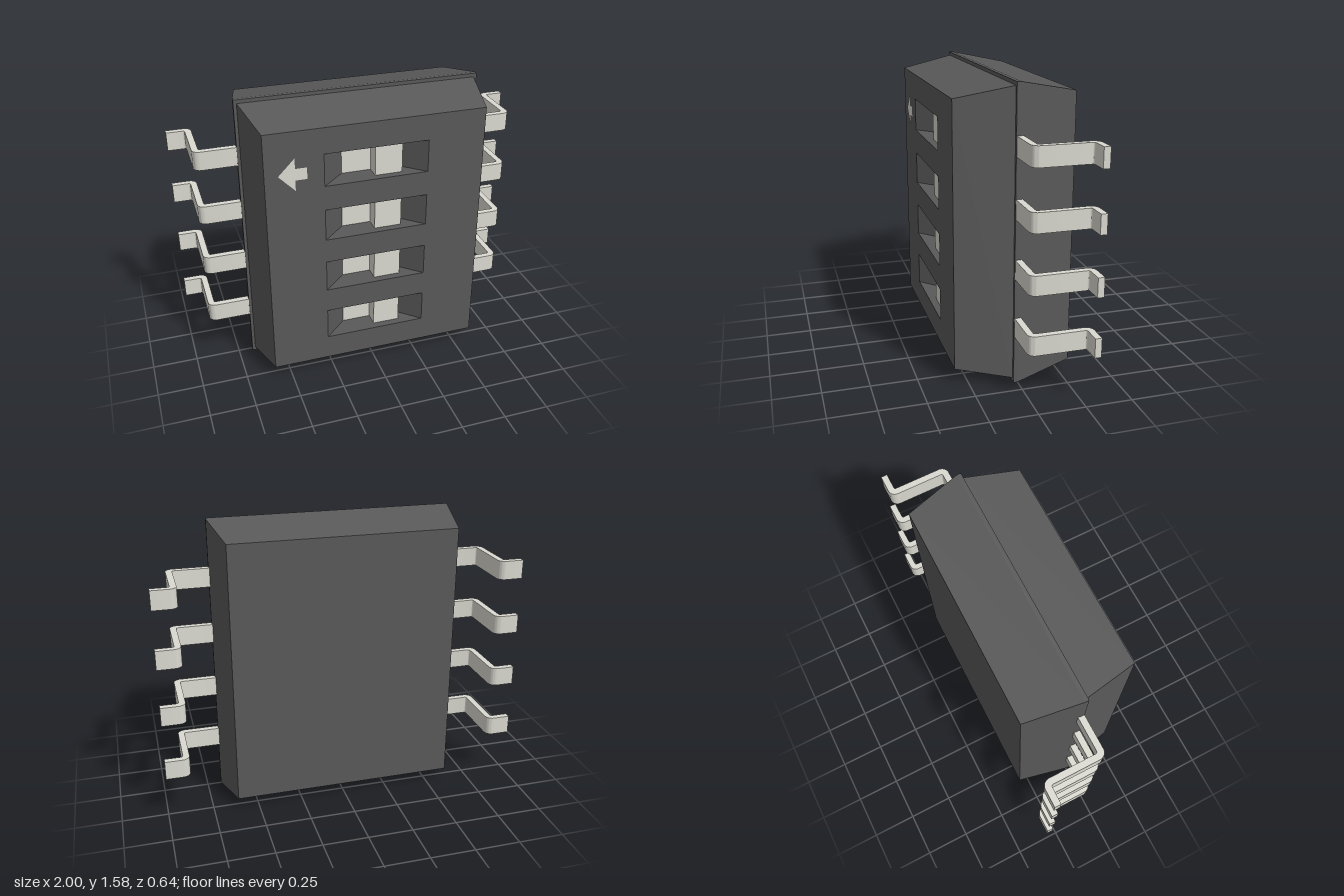
import * as THREE from 'three';
import { toCreasedNormals } from 'three/addons/utils/BufferGeometryUtils.js';

const ROWS = [0.315, 0.633, 0.95, 1.268]; // heights of the four switches and lead pairs
const FRONT = 0.32;
const SLOT = { x0: -0.285, x1: 0.28, floor0: -0.16, floor1: 0.15, half: 0.09, floorZ: 0.2 };

// Walls joining rectangular rings [x0, x1, y0, y1, z]; they face outward when z rises, inward when it falls
function loft(rings, capFirst = false) {
  const corners = rings.map(([x0, x1, y0, y1, z]) => [[x0, y0, z], [x1, y0, z], [x1, y1, z], [x0, y1, z]]);
  const pos = [];
  const quad = (a, b, c, d) => pos.push(...a, ...b, ...c, ...a, ...c, ...d);
  for (let r = 0; r + 1 < corners.length; r++) {
    const A = corners[r], B = corners[r + 1];
    for (let i = 0; i < 4; i++) {
      const j = (i + 1) % 4;
      quad(A[i], A[j], B[j], B[i]);
    }
  }
  if (capFirst) quad(...[...corners[0]].reverse());
  const g = new THREE.BufferGeometry();
  g.setAttribute('position', new THREE.Float32BufferAttribute(pos, 3));
  g.computeVertexNormals();
  return g;
}

function rectPoints(x0, x1, y0, y1) {
  return [[x0, y0], [x1, y0], [x1, y1], [x0, y1]].map(p => new THREE.Vector2(...p));
}

// Gull-wing lead: bent strip profile extruded to its width, centred on y = 0
function leadGeometry() {
  const s = new THREE.Shape();
  s.moveTo(0.6, -0.02);
  s.lineTo(0.86, -0.02);
  s.absarc(0.86, 0.02, 0.04, -Math.PI / 2, 0, false);
  s.lineTo(0.9, 0.275);
  s.absarc(0.91, 0.275, 0.01, Math.PI, Math.PI / 2, true);
  s.lineTo(1, 0.285);
  s.lineTo(1, 0.32);
  s.lineTo(0.905, 0.32);
  s.absarc(0.905, 0.28, 0.04, Math.PI / 2, Math.PI, false);
  s.lineTo(0.865, 0.025);
  s.absarc(0.855, 0.025, 0.01, 0, -Math.PI / 2, true);
  s.lineTo(0.6, 0.015);
  const g = new THREE.ExtrudeGeometry(s, { depth: 0.104, bevelEnabled: false, curveSegments: 8 });
  g.translate(0, 0, -0.052);
  g.rotateX(-Math.PI / 2);
  return toCreasedNormals(g, Math.PI / 6);
}

export function createModel() {
  const model = new THREE.Group();
  const dark = new THREE.MeshStandardMaterial({ color: 0x595959 });
  const light = new THREE.MeshStandardMaterial({ color: 0xdbdad1 });
  const add = (name, geometry, material, parent = model) => {
    const mesh = new THREE.Mesh(geometry, material);
    mesh.name = name;
    parent.add(mesh);
    return mesh;
  };

  // Housing: tapered base, narrow rim, then the slightly smaller tapered cover
  add('housing', loft([
    [-0.615, 0.615, 0.065, 1.518, -0.303],
    [-0.672, 0.672, 0, 1.58, 0],
    [-0.672, 0.672, 0, 1.58, 0.022],
    [-0.655, 0.655, 0.02, 1.56, 0.022],
    [-0.595, 0.595, 0.083, 1.5, FRONT],
  ], true), dark);

  // Front face with four slot openings
  const face = new THREE.Shape(rectPoints(-0.595, 0.595, 0.083, 1.5));
  for (const y of ROWS) {
    face.holes.push(new THREE.Path(rectPoints(SLOT.x0, SLOT.x1, y - SLOT.half, y + SLOT.half).reverse()));
  }
  add('frontFace', new THREE.ShapeGeometry(face).translate(0, 0, FRONT), dark);

  const lead = leadGeometry();
  ROWS.forEach((y, i) => {
    // Switch: slot with sloping ends, light floor and raised slider on one half
    const unit = new THREE.Group();
    unit.name = `switch${i + 1}`;
    unit.position.y = y;
    model.add(unit);
    const { x0, x1, floor0, floor1, half, floorZ } = SLOT;
    add('slotWalls', loft([
      [x0, x1, -half, half, FRONT],
      [floor0, floor1, -half, half, floorZ],
    ]), dark, unit);
    const floor = new THREE.PlaneGeometry(floor1 - floor0, half * 2);
    add('slotFloor', floor.translate((floor0 + floor1) / 2, 0, floorZ), light, unit);
    const slider = new THREE.BoxGeometry(floor1, half * 2 - 0.002, 0.08);
    add('slider', slider.translate(floor1 / 2, 0, floorZ + 0.04), light, unit);

    // Mirrored pair of leads
    add('leftLead', lead, light).position.y = y;
    const right = add('rightLead', lead, light);
    right.position.y = y;
    right.rotation.z = Math.PI;
  });

  // Direction arrow beside the top switch
  const arrow = new THREE.Shape([
    [-0.525, 0], [-0.437, -0.09], [-0.437, -0.032], [-0.375, -0.032],
    [-0.375, 0.032], [-0.437, 0.032], [-0.437, 0.09],
  ].map(p => new THREE.Vector2(...p)));
  add('arrow', new THREE.ShapeGeometry(arrow).translate(0, ROWS[3], FRONT + 0.002), light);

  return model;
}
